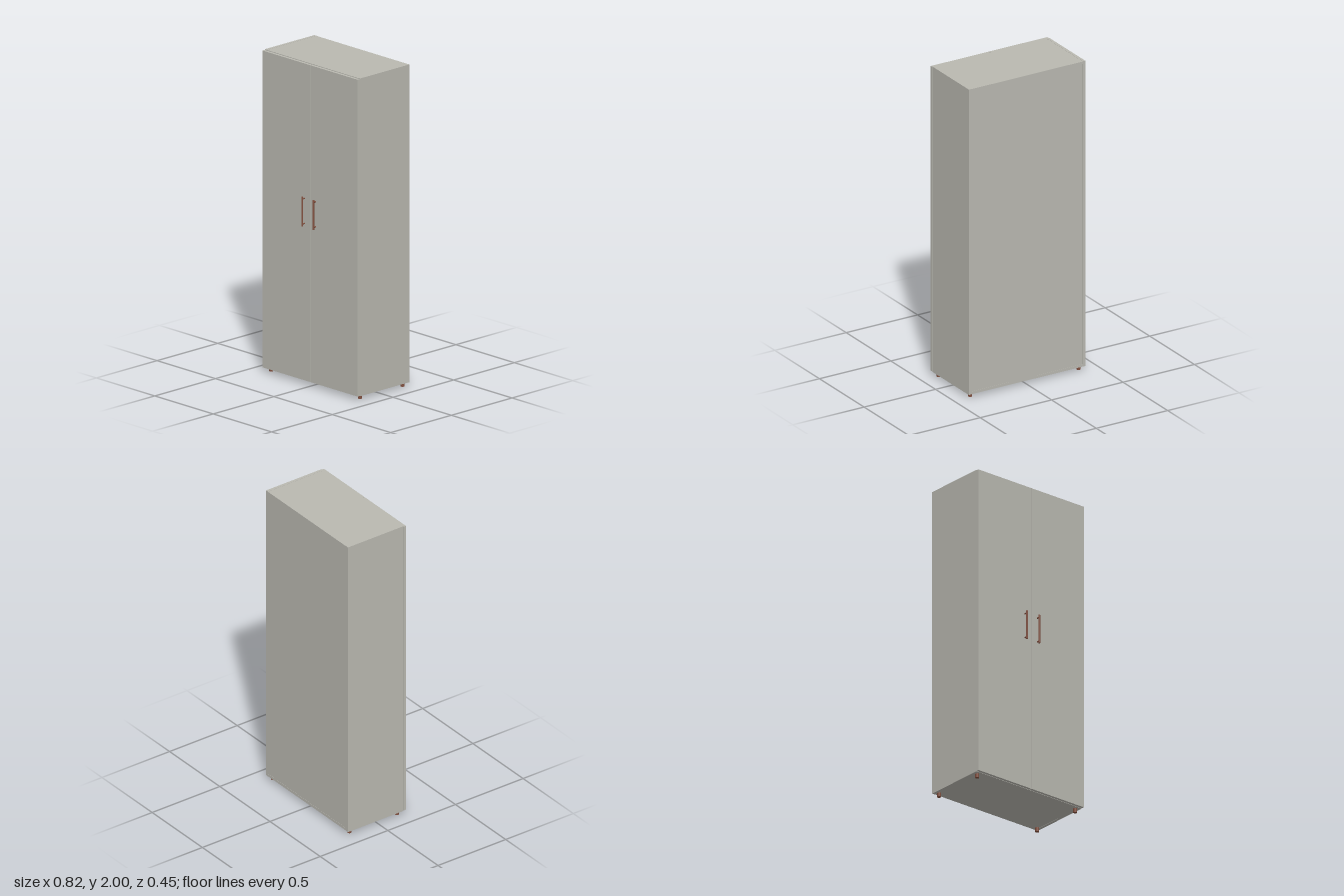
import * as THREE from 'three';

export function createModel() {
  const root = new THREE.Group();
  root.name = 'wardrobe';
  const panelGrey = new THREE.MeshStandardMaterial({ color: 0xb9b8b0 });
  panelGrey.name = 'warm grey panel';
  const copper = new THREE.MeshStandardMaterial({ color: 0x82503f });
  copper.name = 'copper brown';

  // Board given by its minimum and maximum corners
  function board(name, x0, x1, y0, y1, z0, z1) {
    const mesh = new THREE.Mesh(new THREE.BoxGeometry(x1 - x0, y1 - y0, z1 - z0), panelGrey);
    mesh.position.set((x0 + x1) / 2, (y0 + y1) / 2, (z0 + z1) / 2);
    mesh.name = name;
    root.add(mesh);
  }

  function rod(name, radius, length, x, y, z, parent = root) {
    const mesh = new THREE.Mesh(new THREE.CylinderGeometry(radius, radius, length, 20), copper);
    mesh.position.set(x, y, z);
    mesh.name = name;
    parent.add(mesh);
    return mesh;
  }

  const W = 0.408, T = 0.018, IN = W - T;
  const BOTTOM = 0.025, TOP = 2, BACK = -0.226, FRONT = 0.182;

  // Carcass
  board('rightSide', -W, -IN, BOTTOM, TOP, BACK, FRONT);
  board('leftSide', IN, W, BOTTOM, TOP, BACK, FRONT);
  board('topPanel', -IN, IN, TOP - T, TOP - 0.001, BACK, FRONT);
  board('bottomPanel', -IN, IN, BOTTOM + 0.001, BOTTOM + T, BACK, FRONT);
  board('backPanel', -IN, IN, BOTTOM + T, TOP - T, BACK + 0.001, BACK + 0.01);

  // Inner shelves
  for (const y of [0.43, 0.82, 1.2, 1.6]) {
    board('shelf', -IN, IN, y - T / 2, y + T / 2, BACK + 0.01, FRONT - 0.01);
  }

  for (const s of [-1, 1]) {
    const side = s > 0 ? 'left' : 'right';

    // Doors with a narrow gap between them
    const xs = [s * 0.002, s * W].sort((a, b) => a - b);
    board(side + 'Door', xs[0], xs[1], BOTTOM + 0.002, TOP - 0.004, 0.184, 0.202);

    // Bar handle on two posts
    const handle = new THREE.Group();
    handle.name = side + 'Handle';
    root.add(handle);
    rod('handleBar', 0.0055, 0.184, s * 0.048, 1.08, 0.2205, handle);
    for (const y of [1.002, 1.158]) {
      rod('handlePost', 0.0045, 0.019, s * 0.048, y, 0.2105, handle).rotation.x = Math.PI / 2;
    }

    // Feet
    for (const z of [0.156, -0.195]) {
      rod(side + 'Foot', 0.012, 0.026, s * 0.38, 0.013, z);
    }
  }
  return root;
}
